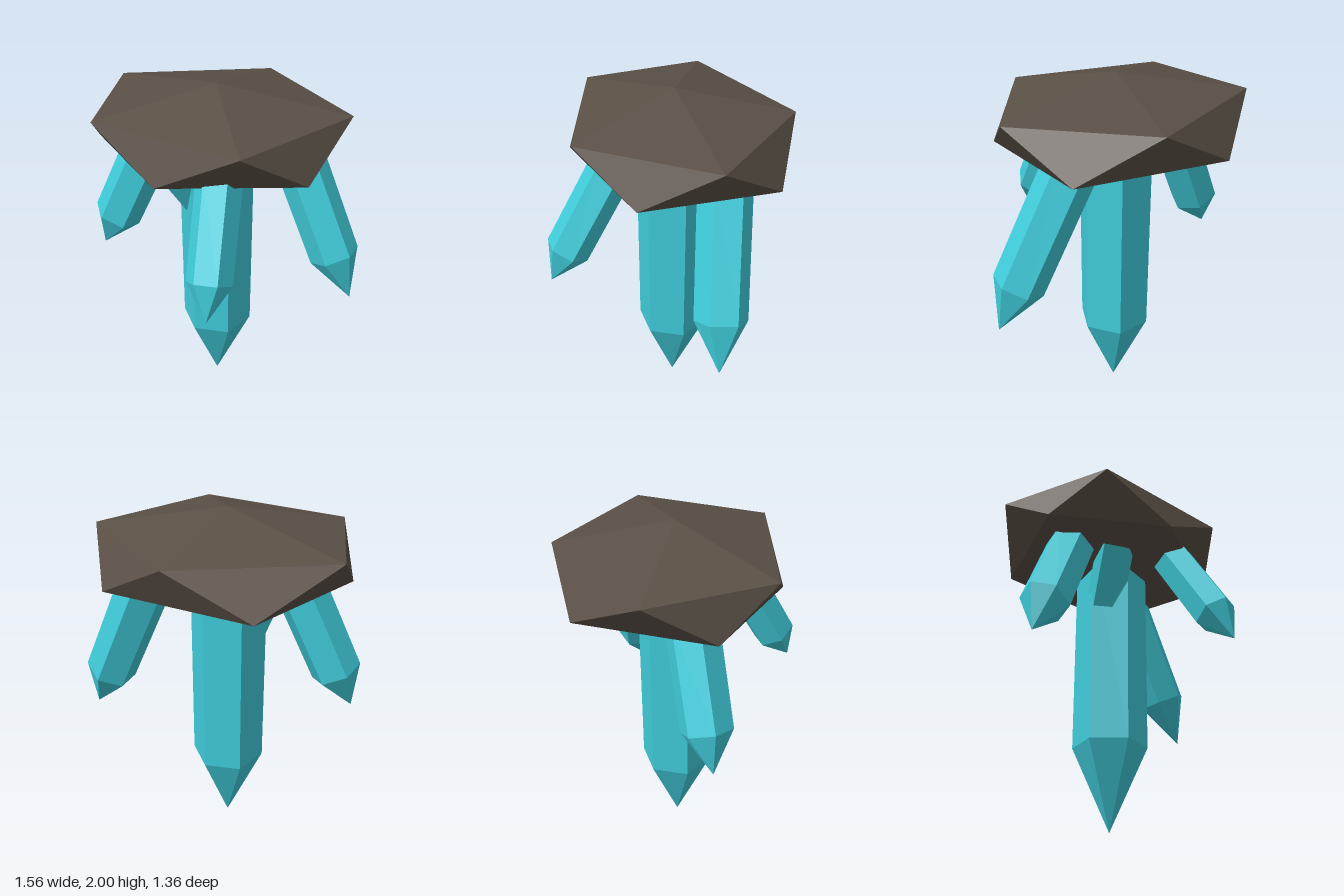
import * as THREE from 'three';
import { ConvexGeometry } from 'three/addons/geometries/ConvexGeometry.js';

const rockMaterial = new THREE.MeshStandardMaterial({ color: 0x5a5046, flatShading: true });
rockMaterial.name = 'brown rock';
const crystalMaterial = new THREE.MeshStandardMaterial({ color: 0x40cddb, flatShading: true });
crystalMaterial.name = 'cyan crystal';

const UP = new THREE.Vector3(0, 1, 0);

// Six-sided crystal hanging from root to tip; point = length of its pointed end
function crystal(name, root, tip, radius, point, spin) {
  const top = new THREE.Vector3(...root);
  const end = new THREE.Vector3(...tip);
  const axis = top.clone().sub(end);
  const length = axis.length();
  const profile = [[0, 0], [radius, point], [radius, length], [0, length]];
  const geometry = new THREE.LatheGeometry(profile.map(([x, y]) => new THREE.Vector2(x, y)), 6);
  geometry.rotateY(THREE.MathUtils.degToRad(spin));
  const mesh = new THREE.Mesh(geometry, crystalMaterial);
  mesh.name = name;
  mesh.quaternion.setFromUnitVectors(UP, axis.normalize());
  mesh.position.copy(end);
  return mesh;
}

// Squashed, uneven twenty-sided boulder: two rings of five corners and two poles
function rock() {
  const upper = [[0.68, -0.07], [0.19, 0.53], [-0.62, 0.26], [-0.66, -0.43], [0.17, -0.67]];
  const lower = [[0.5, 0.3], [-0.25, 0.46], [-0.7, -0.07], [-0.27, -0.68], [0.54, -0.44]];
  const points = [
    new THREE.Vector3(-0.04, 2, -0.07),
    new THREE.Vector3(-0.04, 1.48, -0.07),
    ...upper.map(([x, z]) => new THREE.Vector3(x, 1.873, z)),
    ...lower.map(([x, z]) => new THREE.Vector3(x, 1.64, z)),
  ];
  const mesh = new THREE.Mesh(new ConvexGeometry(points), rockMaterial);
  mesh.name = 'rock';
  return mesh;
}

export function createModel() {
  const group = new THREE.Group();
  group.name = 'hangingCrystalCluster';
  group.add(
    rock(),
    crystal('mainCrystal', [-0.04, 1.66, -0.07], [-0.04, 0, -0.07], 0.21, 0.47, 30),
    crystal('leftCrystal', [0.36, 1.65, -0.21], [0.77, 0.725, -0.055], 0.145, 0.29, 45),
    crystal('rightCrystal', [-0.41, 1.64, -0.11], [-0.75, 0.905, -0.1], 0.14, 0.235, 30),
    crystal('frontCrystal', [0.05, 1.65, 0.3], [0.05, 1.0, 0.677], 0.123, 0.21, 30),
    // Short crystal leaning into the main one
    crystal('innerCrystal', [-0.27, 1.62, 0.1], [-0.03, 1.05, -0.19], 0.11, 0.2, 30),
  );
  return group;
}
